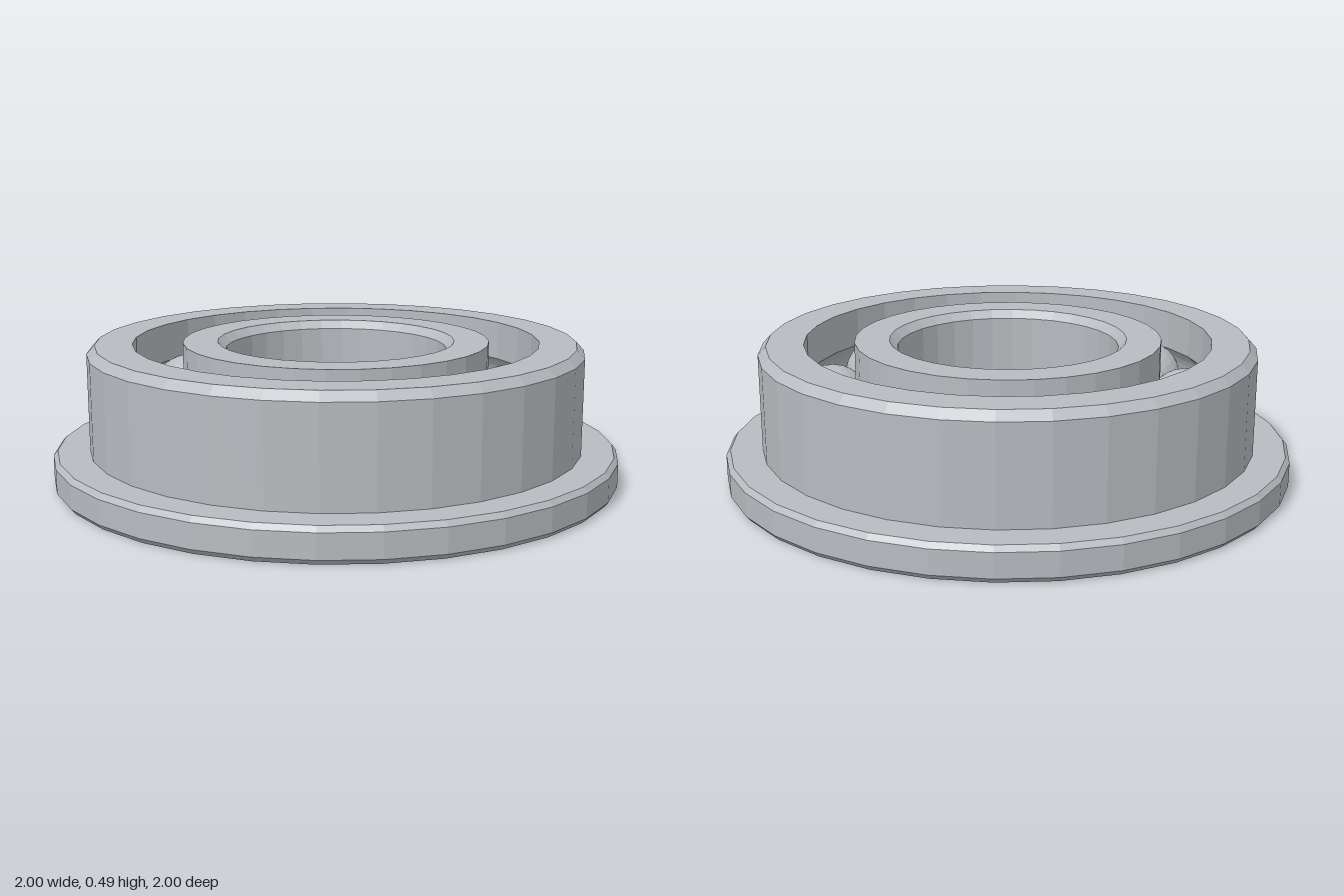
import * as THREE from 'three';

const SIDES = 32;
const HEIGHT = 0.49;
const MID = HEIGHT / 2;
const PITCH = 0.63; // radius of the ball circle
const BALL = 0.133;
const BALLS = 10;

// Gives every face its own normal
function faceted(geometry) {
  const flat = geometry.index ? geometry.toNonIndexed() : geometry;
  flat.computeVertexNormals();
  return flat;
}

// Arc of the ball track, where the ball circle cuts a wall at the given radius
function track(wall, upward) {
  const r = BALL + 0.002;
  const half = Math.acos(Math.abs(wall - PITCH) / r);
  const side = Math.sign(wall - PITCH);
  const points = [];
  for (let i = 0; i <= 10; i++) {
    const a = (upward ? 1 : -1) * half * (i / 5 - 1);
    points.push([PITCH + side * r * Math.cos(a), MID + r * Math.sin(a)]);
  }
  return points;
}

// Closed ring: profile runs up the outside and down the bore
function ring(name, profile, material) {
  const points = [...profile, profile[0]].map(([r, y]) => new THREE.Vector2(r, y));
  const mesh = new THREE.Mesh(faceted(new THREE.LatheGeometry(points, SIDES)), material);
  mesh.name = name;
  return mesh;
}

export function createModel() {
  const model = new THREE.Group();
  model.name = 'flangedBallBearing';
  const steel = new THREE.MeshStandardMaterial({ color: 0xb8bbc0 });
  steel.name = 'steel';

  // Outer ring with flange, chamfers and ball track in the bore
  model.add(ring('outerRing', [
    [0.715, 0], [0.985, 0], [1, 0.018], [1, 0.102], [0.985, 0.12],
    [0.873, 0.12], [0.873, 0.46], [0.845, HEIGHT], [0.715, HEIGHT],
    ...track(0.715, false),
  ], steel));

  // Inner ring with ball track outside and chamfered bore
  model.add(ring('innerRing', [
    [0.418, 0], [0.54, 0], ...track(0.54, true), [0.54, HEIGHT],
    [0.418, HEIGHT], [0.39, HEIGHT - 0.028], [0.39, 0.028],
  ], steel));

  // Balls
  const balls = new THREE.Group();
  balls.name = 'balls';
  const ballGeometry = faceted(new THREE.IcosahedronGeometry(BALL, 4));
  for (let i = 0; i < BALLS; i++) {
    const a = (i / BALLS) * Math.PI * 2;
    const ball = new THREE.Mesh(ballGeometry, steel);
    ball.name = 'ball';
    ball.position.set(PITCH * Math.cos(a), MID, PITCH * Math.sin(a));
    balls.add(ball);
  }
  model.add(balls);
  return model;
}
